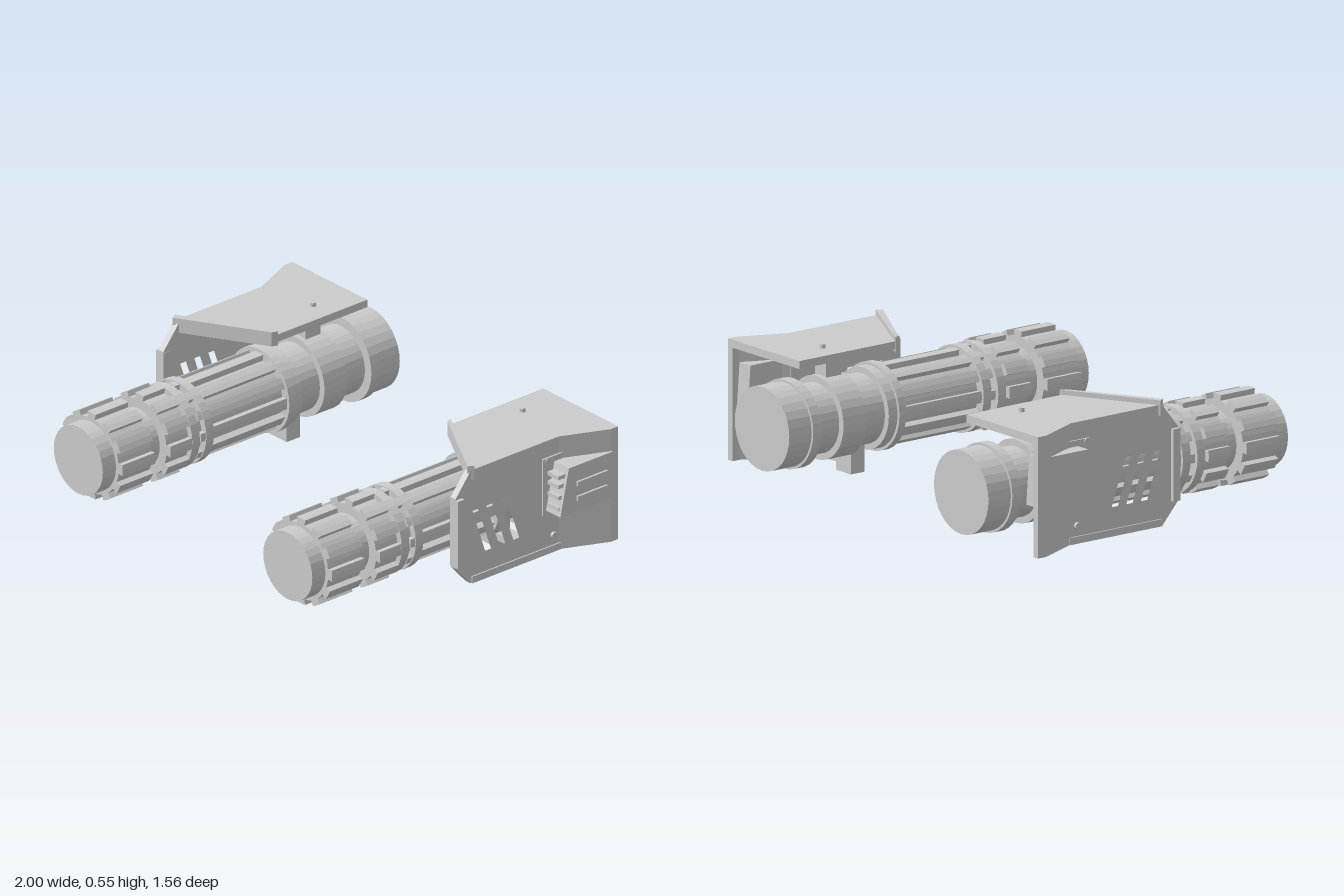
import * as THREE from 'three';

const mat = new THREE.MeshStandardMaterial({ color: 0xcccccc, flatShading: true });
const CX = 0.636, CY = 0.25; // barrel axis

const poly = (pts) => new THREE.Shape(pts.map(([a, b]) => new THREE.Vector2(a, b)));
const extrude = (shape, depth) => new THREE.ExtrudeGeometry(shape, { depth, bevelEnabled: false });

// Plan outline of [x, z] points, raised from y0 to y1
const plan = (pts, y0, y1) =>
  extrude(poly(pts.map(([x, z]) => [x, -z])), y1 - y0).rotateX(-Math.PI / 2).translate(0, y0, 0);

// Side outline of [z, y] points with optional holes, spanning x0 to x1
function sidePanel(pts, x0, x1, holes = []) {
  const shape = poly(pts.map(([z, y]) => [-z, y]));
  for (const h of holes) shape.holes.push(poly(h.map(([z, y]) => [-z, y])));
  return extrude(shape, x1 - x0).rotateY(Math.PI / 2).translate(x0, 0, 0);
}

const box = (x0, x1, y0, y1, z0, z1) =>
  new THREE.BoxGeometry(x1 - x0, y1 - y0, z1 - z0)
    .translate((x0 + x1) / 2, (y0 + y1) / 2, (z0 + z1) / 2);

const drum = (r, z0, z1) =>
  new THREE.CylinderGeometry(r, r, z1 - z0, 32).rotateX(Math.PI / 2).translate(CX, CY, (z0 + z1) / 2);

// Ribbed drum: n raised ribs on a round core
function ribbed(r, rCore, n, z0, z1, fill = 0.5) {
  const pts = [], step = (Math.PI * 2) / n;
  for (let i = 0; i < n; i++) {
    const a = i * step, h = (step * fill) / 2;
    for (const [rad, ang] of [[rCore, a - h], [r, a - h], [r, a], [r, a + h], [rCore, a + h], [rCore, a + step / 2]])
      pts.push([Math.cos(ang) * rad, Math.sin(ang) * rad]);
  }
  return extrude(poly(pts), z1 - z0).translate(CX, CY, z0);
}

// Mirrors a geometry in x and restores its winding
function mirrored(geo) {
  const g = geo.index ? geo.toNonIndexed() : geo;
  g.scale(-1, 1, 1);
  for (const attr of Object.values(g.attributes)) {
    const { array, itemSize: n } = attr;
    for (let i = 0; i < attr.count; i += 3)
      for (let k = 0; k < n; k++) {
        const a = (i + 1) * n + k, b = (i + 2) * n + k;
        [array[a], array[b]] = [array[b], array[a]];
      }
  }
  return g;
}

function createUnit(side) {
  const unit = new THREE.Group();
  unit.name = side > 0 ? 'leftUnit' : 'rightUnit';
  const add = (name, geo) => {
    const m = new THREE.Mesh(side > 0 ? geo : mirrored(geo), mat);
    m.name = name;
    unit.add(m);
  };

  // Barrel, front to back
  const drums = [
    ['muzzle', 0.149, 0.70, 0.78], ['neck', 0.124, 0.45, 0.54], ['collar', 0.13, 0.25, 0.35],
    ['frontRing', 0.18, 0.29, 0.33], ['midRing', 0.18, 0.215, 0.255],
    ['rearRing', 0.182, -0.22, -0.185], ['rearCollar', 0.17, -0.265, -0.22],
    ['rearCore', 0.145, -0.63, -0.26], ['rearBand', 0.173, -0.5, -0.38],
    ['backRing', 0.184, -0.665, -0.62], ['backCap', 0.174, -0.78, -0.66],
  ];
  for (const [name, r, z0, z1] of drums) add(name, drum(r, z0, z1));
  add('muzzleGrip', ribbed(0.19, 0.166, 12, 0.535, 0.71));
  add('frontGrip', ribbed(0.19, 0.166, 12, 0.34, 0.455));
  add('studRing', ribbed(0.176, 0.15, 12, 0.255, 0.28, 0.4));
  add('flutedBarrel', ribbed(0.168, 0.14, 12, -0.19, 0.22, 0.55));

  // Side armour with three slanted slots
  const slots = [0, 1, 2].map((i) => {
    const z = 0.03 - i * 0.075;
    return [[z, 0.35], [z - 0.03, 0.35], [z - 0.1, 0.15], [z - 0.068, 0.15]];
  });
  add('sidePlate', sidePanel(
    [[0.12, 0.12], [0.12, 0.43], [0.04, 0.53], [-0.44, 0.53], [-0.44, 0.03], [0.04, 0.03]],
    0.872, 0.902, slots));
  add('sideFrontRim', box(0.87, 0.918, 0.125, 0.425, 0.085, 0.12));
  add('sideBottomLip', box(0.865, 0.908, 0.03, 0.06, -0.44, 0.035));
  add('flaredPlate', plan(
    [[0.872, -0.43], [0.902, -0.43], [0.99, -0.63], [0.99, -0.67], [0.96, -0.67], [0.96, -0.635]],
    0.03, 0.53));

  // Top armour with a raised lip on its slanted front edge
  add('topPlate', plan(
    [[0.534, -0.67], [0.99, -0.67], [0.99, -0.63], [0.902, -0.43], [0.902, 0.045], [0.534, -0.165]],
    0.5, 0.533));
  add('topLip', plan(
    [[0.524, -0.185], [0.534, -0.16], [0.895, 0.05], [0.91, 0.025]], 0.49, 0.553));
  add('topPin', new THREE.CylinderGeometry(0.012, 0.012, 0.02, 12).translate(CX, 0.54, -0.47));

  // Vent box in the flare
  const out = side > 0 ? 0.998 : 0.975;
  add('vent', sidePanel(
    [[-0.355, 0.23], [-0.4, 0.435], [-0.635, 0.435], [-0.65, 0.23]], 0.89, out));
  add('ventBase', box(0.89, 0.91, 0.21, 0.46, -0.45, -0.34));
  if (side > 0) {
    for (const y of [0.29, 0.355]) add('ventSlat', box(0.99, 1.008, y - 0.01, y + 0.01, -0.6, -0.44));
    for (const y of [0.26, 0.31, 0.36, 0.4])
      add('ventLouver', box(0.92, 0.985, y - 0.008, y + 0.008, -0.41, -0.355));
  }

  // Small bolts on the side plate
  for (const [z, y, r] of [[-0.4, 0.105, 0.014], [-0.36, 0.45, 0.009]])
    add('bolt', new THREE.CylinderGeometry(r, r, 0.02, 12).rotateZ(Math.PI / 2).translate(0.904, y, z));

  // Mounts joining the barrel to the armour
  add('topPost', box(0.6, 0.67, 0.4, 0.505, -0.48, -0.4));
  add('bottomArm', box(0.59, 0.88, 0.035, 0.067, -0.36, -0.29));
  add('bottomBlock', box(0.59, 0.685, 0, 0.115, -0.36, -0.29));

  unit.position.x = -0.01;
  return unit;
}

export function createModel() {
  const model = new THREE.Group();
  model.name = 'twinCannons';
  for (const side of [1, -1]) model.add(createUnit(side));
  return model;
}
